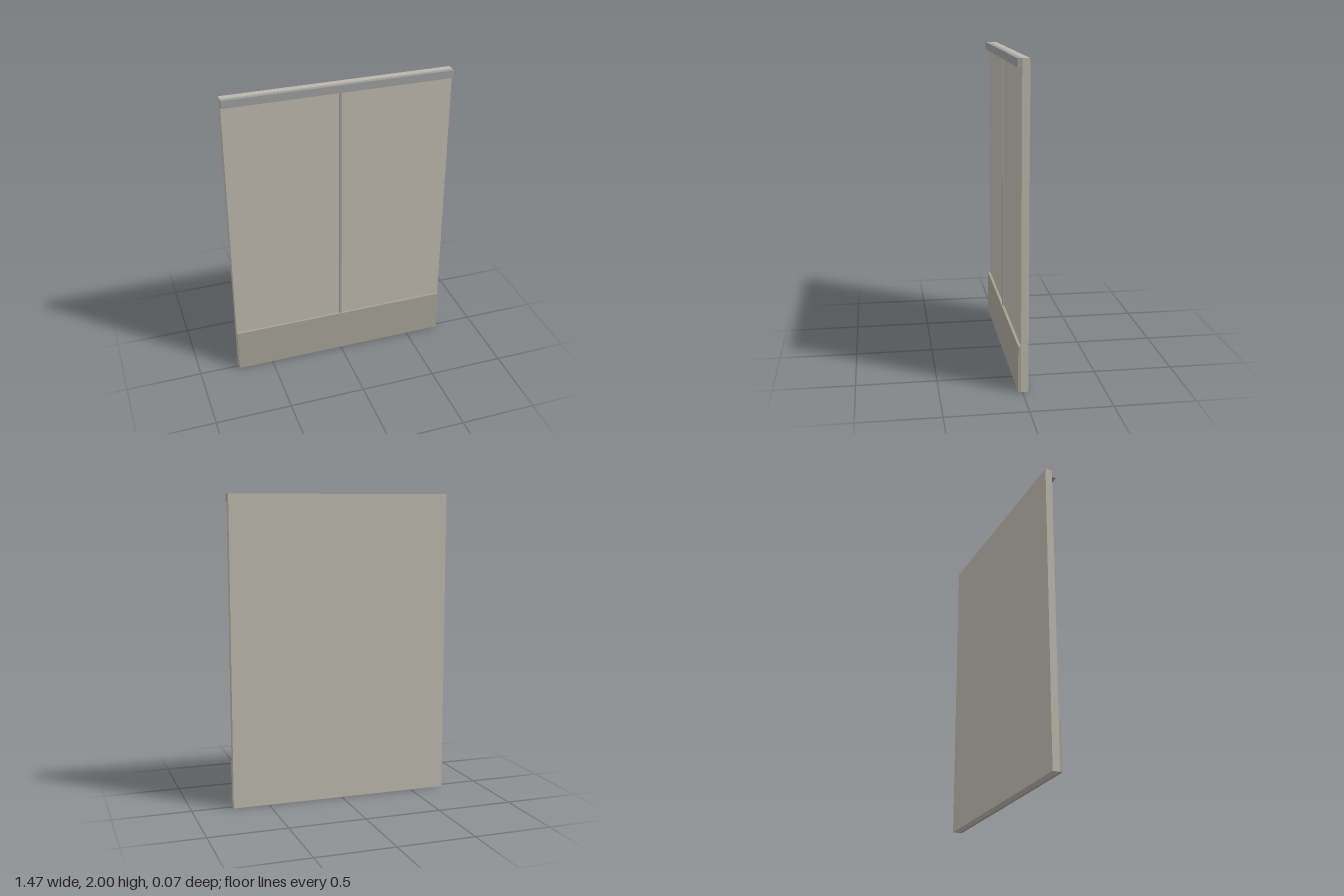
import * as THREE from 'three';

const WIDTH = 1.468;
const BACK = -0.037;
const FACE = 0.009; // front face of the wall panel

export function createModel() {
  const model = new THREE.Group();
  model.name = 'wallPanel';

  // Box given by its width and its y and z ranges
  const addBox = (name, color, width, y0, y1, z0, z1) => {
    const mesh = new THREE.Mesh(
      new THREE.BoxGeometry(width, y1 - y0, z1 - z0),
      new THREE.MeshStandardMaterial({ color })
    );
    mesh.name = name;
    mesh.position.set(0, (y0 + y1) / 2, (z0 + z1) / 2);
    model.add(mesh);
  };

  // Full-height slab
  addBox('wall', 0xbab6ac, WIDTH, 0, 2, BACK, FACE);
  // Raised board along the floor
  addBox('baseboard', 0xa3a196, WIDTH, 0, 0.295, FACE, 0.026);
  // Projecting rail along the top edge
  addBox('topRail', 0x9c9c9c, WIDTH, 1.95, 2, FACE, 0.037);
  // Thin raised strip over the centre seam
  addBox('seamStrip', 0x9c9c9c, 0.016, 0.295, 1.95, FACE, 0.021);

  return model;
}
